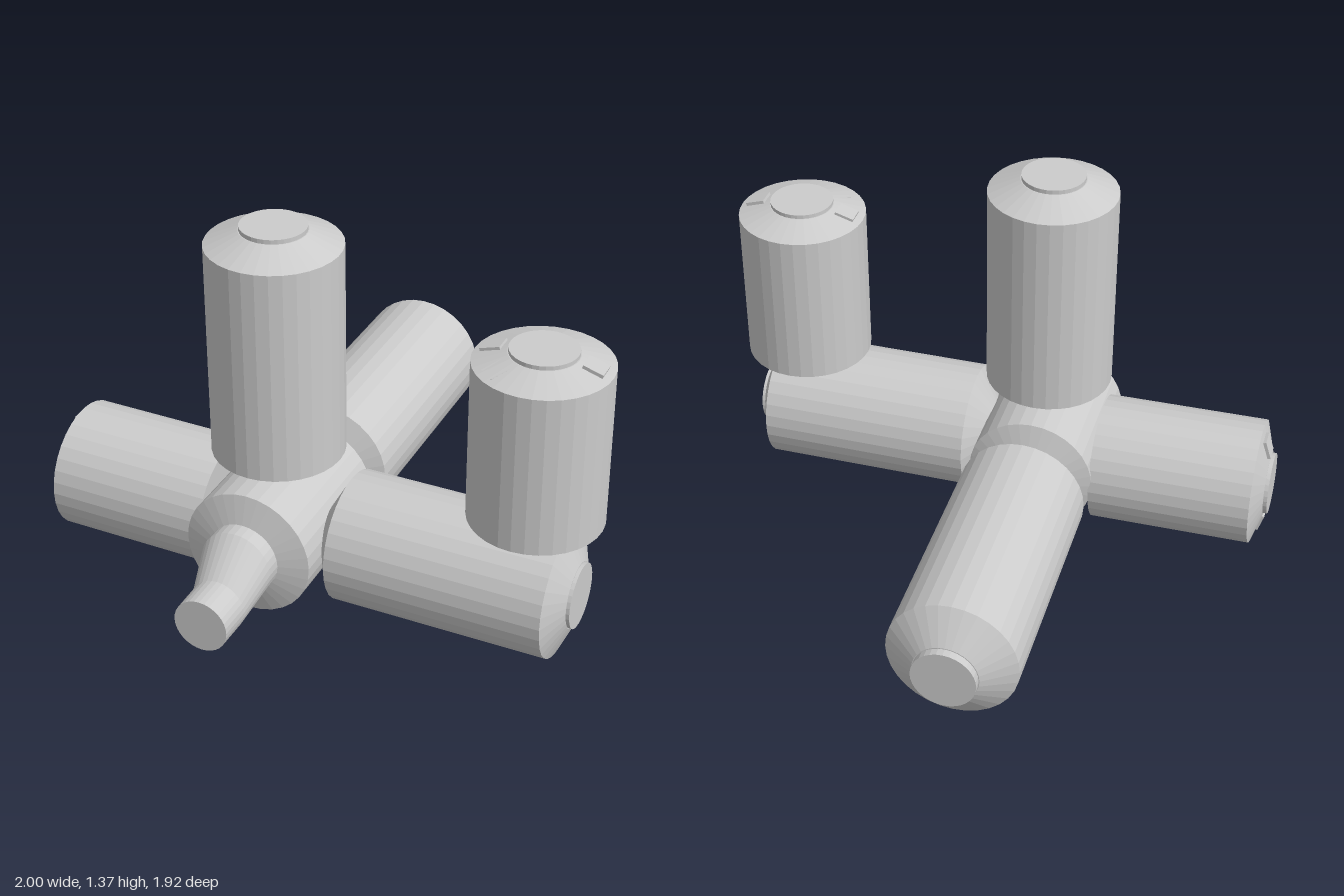
import * as THREE from 'three';

const material = new THREE.MeshStandardMaterial({ color: 0xcccccc, flatShading: true });

// Revolved hull along +y from [radius, height] pairs, listed bottom to top
function hull(name, profile) {
  const points = profile.map(([r, h]) => new THREE.Vector2(r, h));
  const mesh = new THREE.Mesh(new THREE.LatheGeometry(points, 32), material);
  mesh.name = name;
  return mesh;
}

// Long module: docking neck, cone, barrel, end cone and hatch
function longModule(name, start, barrelStart, barrelEnd, coneEnd, end) {
  return hull(name, [
    [0, start - 0.06], [0.112, start - 0.06], [0.112, start], [0.229, barrelStart],
    [0.229, barrelEnd], [0.115, coneEnd], [0.112, coneEnd], [0.112, end], [0, end],
  ]);
}

// Short module: flat base, barrel, shallow cone, hatch and three plates
function shortModule(name, length) {
  const group = new THREE.Group();
  group.name = name;
  group.add(hull('shortBarrel', [
    [0, 0], [0.228, 0], [0.228, length], [0.115, length + 0.036],
    [0.112, length + 0.036], [0.112, length + 0.05], [0, length + 0.05],
  ]));
  // angle around the axis, lift above the cone
  const plates = [[0, 0.004], [Math.PI, 0.002], [Math.PI * 0.72, -0.008]];
  for (const [angle, lift] of plates) {
    const arm = new THREE.Group();
    arm.name = 'plateMount';
    arm.rotation.y = -angle;
    const plate = new THREE.Mesh(new THREE.BoxGeometry(0.07, 0.02, 0.065), material);
    plate.name = 'conePlate';
    plate.position.set(0.167, length + 0.016 + lift, 0);
    plate.rotation.z = -0.3;
    arm.add(plate);
    group.add(arm);
  }
  return group;
}

export function createModel() {
  const model = new THREE.Group();
  model.name = 'station';

  // Central node lying along z
  const node = hull('centralNode', [
    [0, 0.06], [0.112, 0.06], [0.112, 0.085], [0.229, 0.125],
    [0.229, 0.625], [0.125, 0.657], [0, 0.657],
  ]);
  node.rotation.x = Math.PI / 2;
  node.position.set(-0.15, 0.26, 0);
  model.add(node);

  // Front docking adapter, sheared downwards between its two collars
  const adapter = hull('dockingAdapter', [
    [0, 0.645], [0.128, 0.645], [0.128, 0.71], [0.097, 0.84], [0.096, 0.96], [0, 0.96],
  ]);
  adapter.geometry.rotateX(Math.PI / 2);
  const p = adapter.geometry.attributes.position;
  for (let i = 0; i < p.count; i++) {
    const t = THREE.MathUtils.clamp((p.getZ(i) - 0.71) / 0.13, 0, 1);
    p.setY(i, p.getY(i) - 0.075 * t);
  }
  adapter.geometry.computeVertexNormals();
  adapter.position.set(-0.15, 0.262, 0);
  model.add(adapter);

  // Rear module
  const rear = longModule('rearModule', -0.06, -0.01, 0.86, 0.935, 0.963);
  rear.rotation.x = -Math.PI / 2;
  rear.position.set(-0.15, 0.257, 0);
  model.add(rear);

  // Upper module
  const upper = longModule('upperModule', 0.49, 0.55, 1.315, 1.365, 1.38);
  upper.position.set(-0.15, 0, 0.378);
  model.add(upper);

  // Left side module
  const side = longModule('leftModule', 0.055, 0.12, 0.885, 0.933, 0.945);
  side.rotation.z = -Math.PI / 2;
  side.position.set(0, 0.255, 0.373);
  model.add(side);

  // Right side module, very slightly tilted
  const right = shortModule('rightModule', 0.585);
  right.rotation.z = Math.PI / 2 - 0.01;
  right.position.set(-0.367, 0.234, 0.348);
  model.add(right);

  // Detached module
  const detached = shortModule('detachedModule', 0.57);
  detached.position.set(0.77, 0.52, 0.358);
  model.add(detached);

  return model;
}
